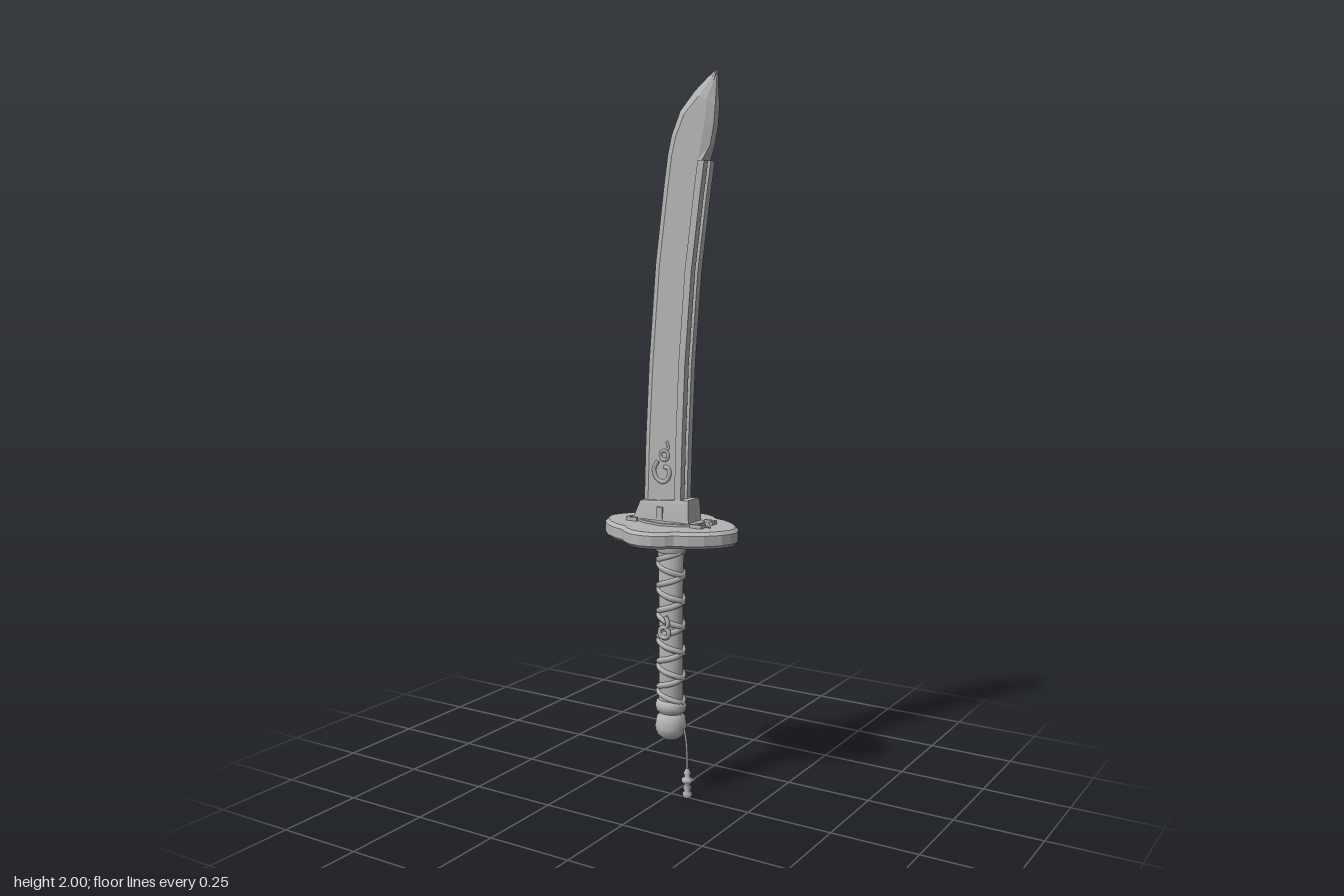
import * as THREE from 'three';

const steel = new THREE.MeshStandardMaterial({ color: 0xb4b4b4 });
steel.name = 'grey steel';

const V = (x, y, z) => new THREE.Vector3(x, y, z);

function add(parent, name, geometry, x = 0, y = 0, z = 0) {
  const mesh = new THREE.Mesh(geometry, steel);
  mesh.name = name;
  mesh.position.set(x, y, z);
  parent.add(mesh);
  return mesh;
}

// Faceted skin over rings that run counter-clockwise seen from above, bottom to top
function loft(rings) {
  const n = rings[0].length, index = [];
  for (let r = 0; r < rings.length - 1; r++) {
    for (let i = 0; i < n; i++) {
      const a = r * n + i, b = r * n + (i + 1) % n;
      index.push(a, b, b + n, a, b + n, a + n);
    }
  }
  const top = (rings.length - 1) * n;
  for (let i = 1; i < n - 1; i++) index.push(0, i + 1, i, top, top + i, top + i + 1);
  const g = new THREE.BufferGeometry().setFromPoints(rings.flat());
  g.setIndex(index);
  const flat = g.toNonIndexed();
  flat.computeVertexNormals();
  return flat;
}

function tube(points, radius, segments = 16, sides = 6, closed = false) {
  return new THREE.TubeGeometry(new THREE.CatmullRomCurve3(points, closed), segments, radius, sides, closed);
}

// Flat plate lying on the ground plane, with a bevelled rim
function plate(points, height, bevel) {
  const g = new THREE.ExtrudeGeometry(new THREE.Shape(points), {
    depth: height - 2 * bevel, bevelEnabled: true, bevelThickness: bevel,
    bevelSize: bevel, bevelOffset: -bevel, bevelSegments: 1,
  });
  return g.rotateX(-Math.PI / 2).translate(0, bevel, 0);
}

// Mirrors one quarter of an outline (from +x axis to +y axis) into a closed loop
function fourfold(quarter) {
  const half = [...quarter, ...quarter.slice(0, -1).reverse().map(([x, y]) => [-x, y])];
  const all = [...half, ...half.slice(1, -1).reverse().map(([x, y]) => [x, -y])];
  return all.map(([x, y]) => new THREE.Vector2(x, y));
}

// Blade stations: cutting edge x, y, then spine x, y
const STATIONS = [
  [-0.087, 0.80, 0.046, 0.80], [-0.08, 1.02, 0.052, 1.02], [-0.068, 1.24, 0.061, 1.235],
  [-0.047, 1.5, 0.08, 1.48], [-0.02, 1.71, 0.106, 1.68], [-0.008, 1.79, 0.119, 1.77],
  [0.004, 1.84, 0.128, 1.81], [0.03, 1.9, 0.138, 1.86], [0.075, 1.95, 0.142, 1.91],
  [0.115, 1.983, 0.142, 1.96], [0.14, 2.0, 0.142, 1.995],
];

function buildBlade(root) {
  const blade = new THREE.Group();
  blade.name = 'blade';
  root.add(blade);
  add(blade, 'bladeBody', loft(STATIONS.map(([ex, ey, sx, sy], k) => {
    const w = sx - ex, bevel = Math.min(0.024, w * 0.4);
    const t = Math.min(0.022, 0.004 + w * 0.25);
    const back = k < 6 ? 0.01 : 0;
    const my = ey + (sy - ey) * bevel / w;
    const chamfer = k < 6 ? t : t * 0.55;
    const inner = sx - Math.min(0.022, w * 0.3);
    const iy = sy + (ey - sy) * (sx - inner) / w;
    return [
      V(sx - back, sy, chamfer), V(sx - back, sy, -chamfer), V(inner, iy, -t), V(ex + bevel, my, -t),
      V(ex, ey, -0.003), V(ex, ey, 0.003), V(ex + bevel, my, t), V(inner, iy, t),
    ];
  })));
  // Two rails leave a slot along the spine
  for (const s of [1, -1]) {
    const rail = STATIONS.slice(0, 6).map(([, , x, y]) => {
      const z0 = s > 0 ? 0.007 : -0.028, z1 = s > 0 ? 0.028 : -0.007;
      return [V(x, y, z1), V(x, y, z0), V(x - 0.02, y, z0), V(x - 0.02, y, z1)];
    });
    add(blade, 'spineRail', loft(rail));
  }
  // Raised swirl ornament on each face
  for (const s of [1, -1]) {
    const o = new THREE.Group();
    o.name = 'bladeOrnament';
    o.position.set(-0.012, 0.94, s * 0.022);
    blade.add(o);
    const hook = [[-0.015, 0.025], [-0.028, 0], [-0.02, -0.025], [0.002, -0.034], [0.02, -0.018], [0.018, 0.006], [0.004, 0.008]];
    add(o, 'swirl', tube(hook.map(([x, y]) => V(x, y, 0)), 0.0065, 24));
    add(o, 'ornamentRing', new THREE.TorusGeometry(0.013, 0.005, 6, 14), 0.004, 0.04, 0);
    add(o, 'ornamentTail', tube([V(0.006, 0.05, 0), V(0.018, 0.062, 0), V(0.012, 0.08, 0)], 0.004, 8));
  }
}

function buildGuard(root) {
  const guard = new THREE.Group();
  guard.name = 'guard';
  root.add(guard);
  add(guard, 'guardPlate', plate(fourfold([
    [0.206, 0], [0.201, 0.02], [0.188, 0.048], [0.155, 0.083], [0.118, 0.107], [0.082, 0.12],
    [0.065, 0.138], [0.035, 0.156], [0, 0.163],
  ]), 0.046, 0.009), 0, 0.745, 0);
  const washer = fourfold([[0.1, 0], [0.09, 0.03], [0.06, 0.048], [0, 0.062]]);
  add(guard, 'upperWasher', plate(washer, 0.01, 0.002), 0, 0.789, 0);
  add(guard, 'lowerWasher', plate(washer, 0.012, 0.002), 0, 0.735, 0);
  // Corner brackets around the collar
  for (const sx of [1, -1]) for (const sz of [1, -1]) {
    add(guard, 'bracketSide', new THREE.BoxGeometry(0.008, 0.012, 0.026), sx * 0.118, 0.795, sz * 0.029);
    add(guard, 'bracketEnd', new THREE.BoxGeometry(0.036, 0.012, 0.008), sx * 0.104, 0.795, sz * 0.039);
  }
  const spur = add(guard, 'spur', new THREE.ConeGeometry(0.009, 0.05, 4), 0.138, 0.797, 0.028);
  spur.quaternion.setFromUnitVectors(V(0, 1, 0), V(0.7, 0, 0.71).normalize());
  // Collar gripping the foot of the blade
  const ring = (x0, x1, y0, y1, z) => [V(x1, y1, z), V(x1, y1, -z), V(x0, y0, -z), V(x0, y0, z)];
  add(guard, 'collar', loft([
    ring(-0.108, 0.078, 0.788, 0.788, 0.035), ring(-0.102, 0.077, 0.8, 0.8, 0.035),
    ring(-0.085, 0.074, 0.842, 0.852, 0.031), ring(-0.082, 0.072, 0.85, 0.862, 0.029),
  ]));
  for (const s of [1, -1]) {
    add(guard, 'collarStud', new THREE.BoxGeometry(0.018, 0.034, 0.012), -0.015, 0.82, s * 0.032);
  }
}

function buildHandle(root) {
  const handle = new THREE.Group();
  handle.name = 'handle';
  root.add(handle);
  const lathe = (pts) => new THREE.LatheGeometry(pts.map(([x, y]) => new THREE.Vector2(x, y)), 20);
  const grip = lathe([[0, 0.25], [0.037, 0.25], [0.036, 0.4], [0.035, 0.55], [0.039, 0.74], [0, 0.74]]);
  add(handle, 'grip', grip.scale(1, 1, 0.82));
  // Crossing cord wraps
  for (const s of [1, -1]) {
    const pts = [];
    for (let i = 0; i <= 96; i++) {
      const a = s * (i / 96) * Math.PI * 2 * 6;
      pts.push(V(Math.cos(a) * 0.036, 0.275 + 0.44 * i / 96, Math.sin(a) * 0.029));
    }
    add(handle, 'cordWrap', tube(pts, 0.0085, 190, 6));
  }
  add(handle, 'upperCollar', lathe([[0.036, 0.705], [0.045, 0.712], [0.045, 0.737], [0.036, 0.737]]).scale(1, 1, 0.85));
  add(handle, 'lowerCollar', lathe([[0.03, 0.24], [0.043, 0.25], [0.046, 0.265], [0.042, 0.278], [0.03, 0.282]]).scale(1, 1, 0.88));
  // Small grip ornaments
  for (const s of [1, -1]) {
    add(handle, 'gripOrnament', new THREE.TorusGeometry(0.015, 0.007, 6, 14), 0, 0.483, s * 0.036);
    add(handle, 'gripOrnamentTail', tube([V(0.008, 0.497, s * 0.036), V(0.013, 0.512, s * 0.037), V(0.004, 0.53, s * 0.036)], 0.006, 8));
  }
  // Segmented pommel
  add(handle, 'pommel', lathe([
    [0, 0.166], [0.024, 0.168], [0.04, 0.182], [0.046, 0.205], [0.041, 0.23], [0.028, 0.246], [0, 0.248],
  ]));
  for (let i = 0; i < 4; i++) {
    const rib = add(handle, 'pommelRib', new THREE.TorusGeometry(0.042, 0.004, 4, 20), 0, 0.207, 0);
    rib.rotation.y = i * Math.PI / 4;
  }
}

function buildCharm(root) {
  const charm = new THREE.Group();
  charm.name = 'charm';
  root.add(charm);
  add(charm, 'charmCord', tube([V(0.03, 0.24, 0), V(0.045, 0.195, 0), V(0.052, 0.15, 0), V(0.054, 0.08, 0)], 0.0035, 16));
  const profile = [[0, 0], [0.013, 0.002], [0.014, 0.014], [0.008, 0.02], [0.013, 0.03], [0.008, 0.04],
    [0.017, 0.048], [0.017, 0.056], [0.007, 0.062], [0.011, 0.074], [0.004, 0.086], [0, 0.088]];
  add(charm, 'charmBeads', new THREE.LatheGeometry(profile.map(([x, y]) => new THREE.Vector2(x, y)), 10), 0.054, 0, 0);
  const leaf = add(charm, 'charmLeaf', new THREE.ConeGeometry(0.007, 0.036, 5), 0.076, 0.058, 0);
  leaf.rotation.z = -1.0;
}

export function createModel() {
  const root = new THREE.Group();
  root.name = 'curvedSword';
  buildBlade(root);
  buildGuard(root);
  buildHandle(root);
  buildCharm(root);
  return root;
}
